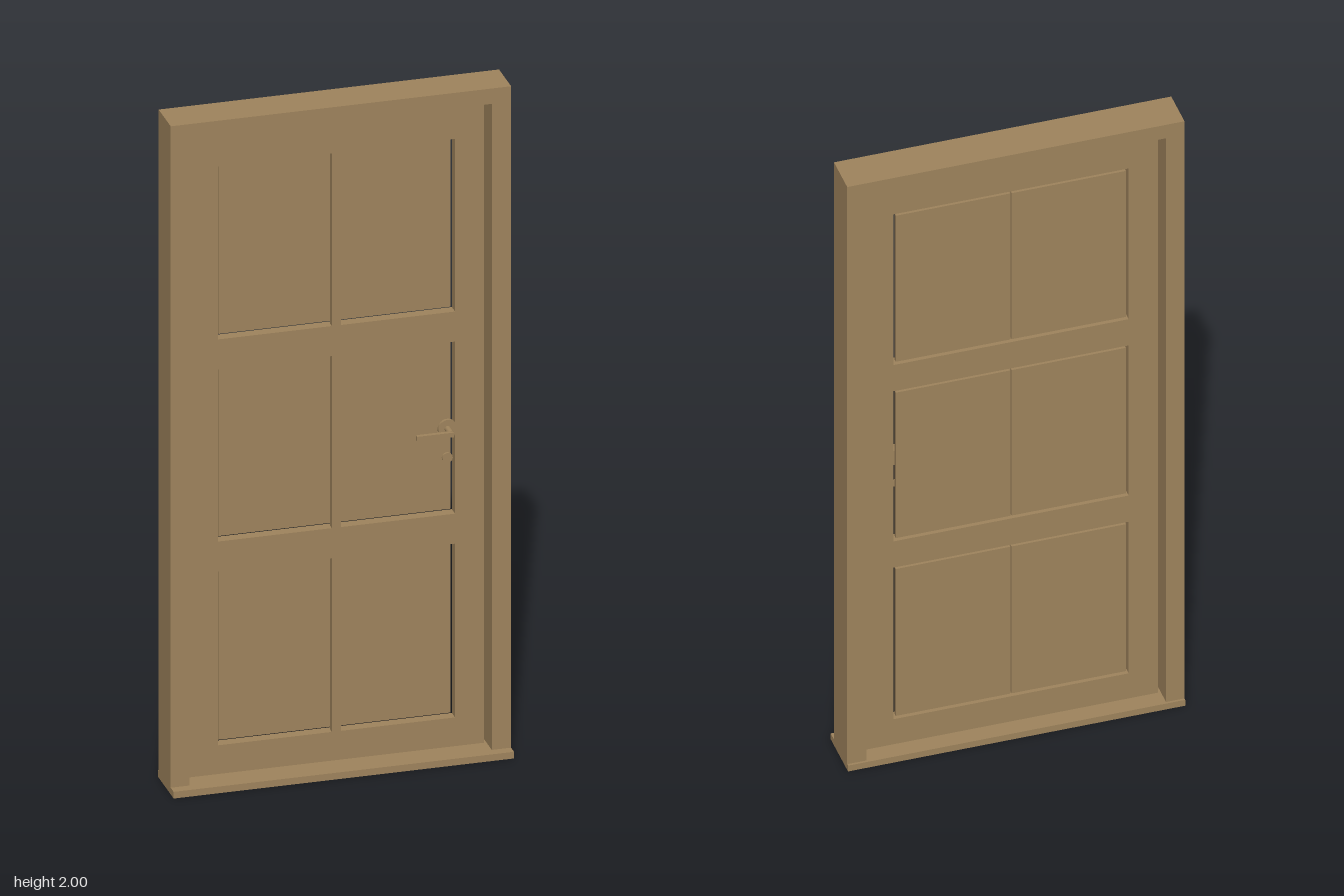
import * as THREE from 'three';

export function createModel() {
  const model = new THREE.Group();
  model.name = 'panelDoor';
  const wood = new THREE.MeshStandardMaterial({ color: 0x9f845d });
  wood.name = 'woodBrown';

  const add = (name, geometry, x = 0, y = 0, z = 0) => {
    const mesh = new THREE.Mesh(geometry, wood);
    mesh.name = name;
    mesh.position.set(x, y, z);
    model.add(mesh);
    return mesh;
  };
  // box given by its limits
  const box = (name, x0, x1, y0, y1, z0, z1) =>
    add(name, new THREE.BoxGeometry(x1 - x0, y1 - y0, z1 - z0),
      (x0 + x1) / 2, (y0 + y1) / 2, (z0 + z1) / 2);
  // rectangle outline, used for shapes and holes
  const rect = (path, x0, x1, y0, y1) => {
    path.moveTo(x0, y0);
    path.lineTo(x1, y0);
    path.lineTo(x1, y1);
    path.lineTo(x0, y1);
    path.closePath();
    return path;
  };
  // cylinder along z, from z0 to z1
  const disc = (name, x, y, radius, z0, z1) => {
    const geometry = new THREE.CylinderGeometry(radius, radius, z1 - z0, 24);
    geometry.rotateX(Math.PI / 2);
    return add(name, geometry, x, y, (z0 + z1) / 2);
  };

  // threshold and surrounding frame
  box('threshold', -0.485, 0.485, 0, 0.02, -0.077, 0.077);
  const frame = new THREE.Shape([
    [-0.485, 0.02], [-0.432, 0.02], [-0.432, 1.954], [0.43, 1.954],
    [0.43, 0.02], [0.485, 0.02], [0.485, 2], [-0.485, 2],
  ].map(([x, y]) => new THREE.Vector2(x, y)));
  add('doorFrame', new THREE.ExtrudeGeometry(frame, { depth: 0.118, bevelEnabled: false }), 0, 0, -0.07);

  // door leaf with three openings
  const back = -0.028, front = 0.004;
  const openings = [[0.11, 0.63], [0.72, 1.235], [1.325, 1.842]];
  const leaf = rect(new THREE.Shape(), -0.422, 0.42, 0.024, 1.934);
  for (const [y0, y1] of openings) leaf.holes.push(rect(new THREE.Path(), -0.338, 0.338, y0, y1));
  add('doorLeaf', new THREE.ExtrudeGeometry(leaf, { depth: front - back, bevelEnabled: false }), 0, 0, back);

  // loose panels and the mullion covering their joint
  for (const [y0, y1] of openings) {
    for (const side of [-1, 1]) {
      const xs = [side * 0.002, side * 0.331].sort((a, b) => a - b);
      box('panel', xs[0], xs[1], y0 + 0.008, y1 - 0.008, back + 0.002, -0.014);
    }
    box('mullion', -0.013, 0.013, y0, y1, -0.014, front);
  }

  // lever handle and keyhole cover
  disc('handleRosette', 0.315, 0.98, 0.027, front, front + 0.008);
  disc('handleStem', 0.315, 0.98, 0.009, front, 0.05);
  box('handleLever', 0.215, 0.32, 0.973, 0.987, 0.044, 0.056);
  disc('keyholeCover', 0.315, 0.892, 0.015, front, front + 0.006);

  // hinges
  for (const y of [0.33, 0.987, 1.622]) {
    add('hinge', new THREE.CylinderGeometry(0.007, 0.007, 0.084, 16), -0.427, y, front + 0.004);
  }
  return model;
}
